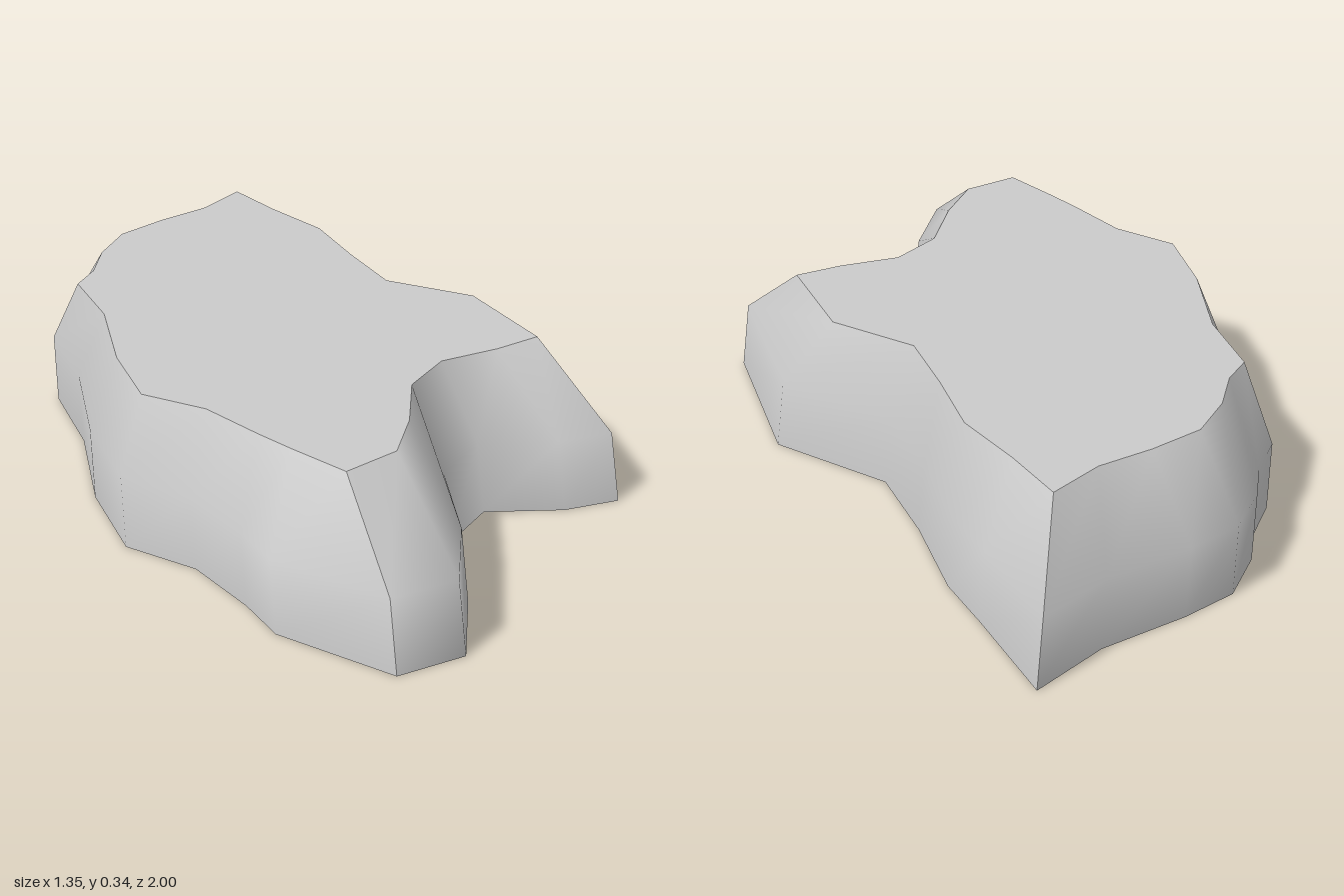
import * as THREE from 'three';
import { mergeGeometries } from 'three/addons/utils/BufferGeometryUtils.js';

// Outlines as [x, z], both starting at the back tip and running over the right-hand point
const base = [
  [-0.235, -1.0], [-0.085, -0.775], [0, -0.655], [0.1, -0.44], [0.21, -0.25], [0.495, -0.115],
  [0.672, 0.275], [0.545, 0.32], [0.36, 0.33], [0.277, 0.47], [0.305, 0.715], [0.29, 0.925],
  [0.147, 1.0], [-0.1, 0.845], [-0.165, 0.735], [-0.28, 0.585], [-0.44, 0.49], [-0.53, 0.265],
  [-0.585, -0.015], [-0.671, -0.24], [-0.645, -0.36], [-0.645, -0.46], [-0.61, -0.6],
  [-0.515, -0.7], [-0.35, -0.84],
];
const top = [
  [-0.24, -0.79], [-0.14, -0.665], [-0.02, -0.535], [0.06, -0.365], [0.145, -0.205], [0.35, -0.115],
  [0.485, 0.115], [0.39, 0.18], [0.26, 0.245], [0.19, 0.365], [0.18, 0.535], [0.15, 0.675],
  [0.045, 0.765], [-0.07, 0.665], [-0.14, 0.6], [-0.255, 0.485], [-0.4, 0.415], [-0.47, 0.23],
  [-0.52, -0.005], [-0.6, -0.18], [-0.57, -0.26], [-0.56, -0.375], [-0.52, -0.495],
  [-0.425, -0.59], [-0.32, -0.675],
];
// The middle outline is the base drawn in a touch
const middle = base.map(([x, z]) => [x * 0.985 - 0.013, z * 0.985 - 0.005]);
const HEIGHT = 0.34;
const rings = [[base, 0], [middle, HEIGHT / 2], [top, HEIGHT]];
const corners = [0, 6, 12, 19, 25]; // sharp upright edges

// Smooth stretch of wall between two sharp edges
function wall(from, to) {
  const cols = to - from + 1, positions = [], index = [];
  for (const [ring, y] of rings) {
    for (let i = from; i <= to; i++) {
      const [x, z] = ring[i % ring.length];
      positions.push(x, y, z);
    }
  }
  for (let r = 0; r < rings.length - 1; r++) {
    for (let c = 0; c < cols - 1; c++) {
      const a = r * cols + c, b = a + cols;
      index.push(a + 1, a, b, a + 1, b, b + 1);
    }
  }
  const geometry = new THREE.BufferGeometry();
  geometry.setAttribute('position', new THREE.Float32BufferAttribute(positions, 3));
  geometry.setIndex(index);
  geometry.computeVertexNormals();
  return geometry;
}

// Flat cap, facing up (dir = 1) or down (dir = -1)
function cap(outline, y, dir) {
  const shape = new THREE.Shape(outline.map(([x, z]) => new THREE.Vector2(x, -dir * z)));
  return new THREE.ShapeGeometry(shape).rotateX(-dir * Math.PI / 2).translate(0, y, 0);
}

export function createModel() {
  const group = new THREE.Group();
  group.name = 'rockSlab';
  const material = new THREE.MeshStandardMaterial({ color: 0xcccccc });
  const add = (name, geometry) => {
    const mesh = new THREE.Mesh(geometry, material);
    mesh.name = name;
    group.add(mesh);
  };
  add('rockSides', mergeGeometries(corners.slice(1).map((end, i) => wall(corners[i], end))));
  add('rockTop', cap(top, HEIGHT, 1));
  add('rockBottom', cap(base, 0, -1));
  return group;
}
